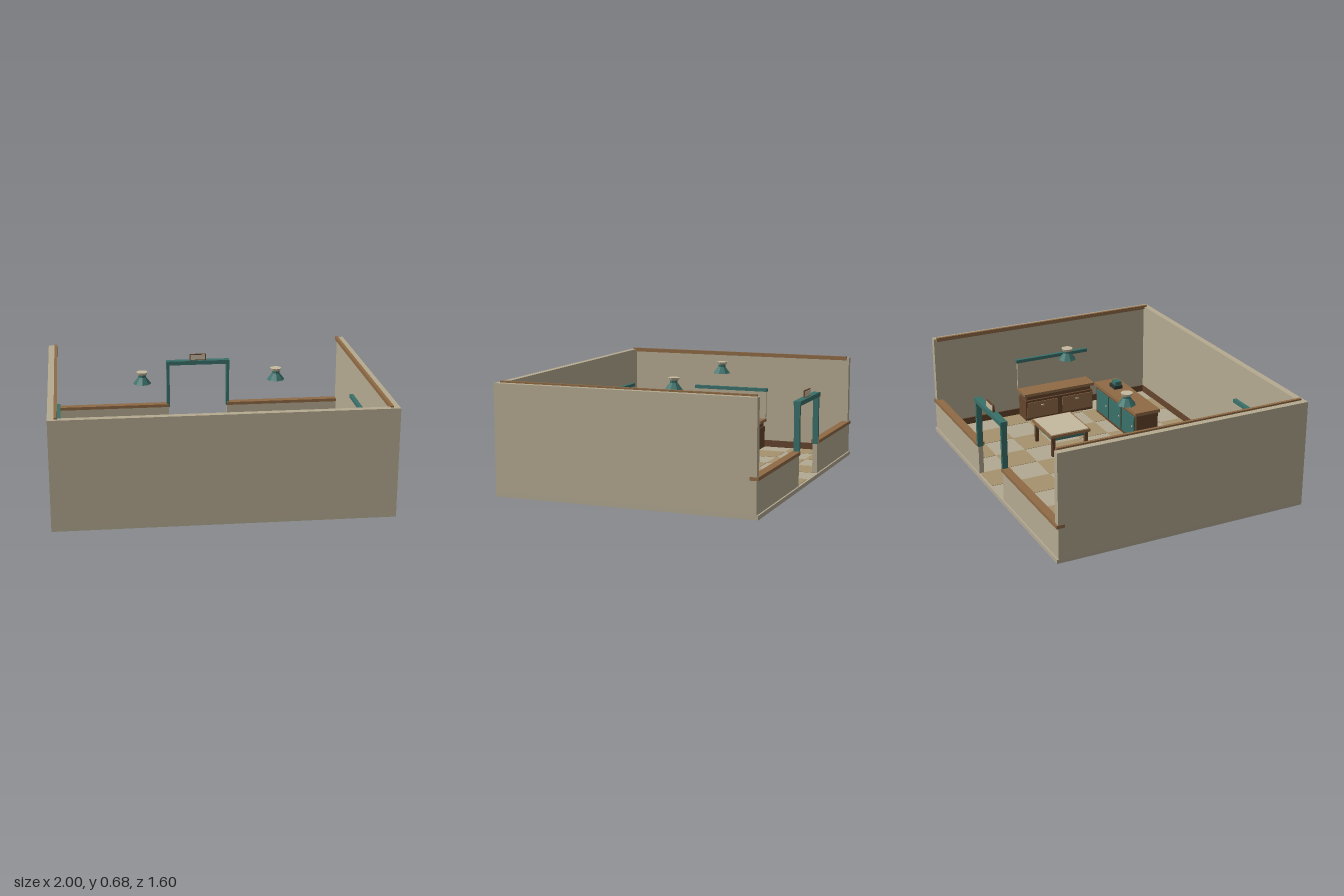
import * as THREE from 'three';

const mat = (color) => new THREE.MeshStandardMaterial({ color, flatShading: true, side: THREE.DoubleSide });
const M = {
  wall: mat(0xb5aa91), tileLight: mat(0xb3a993), tileDark: mat(0xa5926d),
  wood: mat(0x8f6a45), darkWood: mat(0x65452d), teal: mat(0x3a706a), dark: mat(0x2b3532), pale: mat(0xc4b89f),
};

// Box given by its min and max corners
function box(parent, name, m, x0, x1, y0, y1, z0, z1) {
  const mesh = new THREE.Mesh(new THREE.BoxGeometry(x1 - x0, y1 - y0, z1 - z0), m);
  mesh.position.set((x0 + x1) / 2, (y0 + y1) / 2, (z0 + z1) / 2);
  mesh.name = name;
  parent.add(mesh);
  return mesh;
}

function group(parent, name, x = 0, y = 0, z = 0, turn = 0) {
  const g = new THREE.Group();
  g.name = name;
  g.position.set(x, y, z);
  g.rotation.y = turn;
  parent.add(g);
  return g;
}

const FLOOR = 0.027;

// Slab with a checkerboard of inlaid tiles
function floor(parent) {
  const g = group(parent, 'floor');
  box(g, 'floorSlab', M.tileLight, -1, 1, 0, 0.025, -0.8, 0.8);
  for (let i = 0; i < 10; i++) {
    for (let j = 0; j < 8; j++) {
      if ((i + j) % 2 === 0) continue;
      const x = -1 + i * 0.2, z = -0.8 + j * 0.2;
      box(g, 'darkTile', M.tileDark, Math.max(x, -0.97), Math.min(x + 0.2, 0.97), 0.02, FLOOR,
        Math.max(z, -0.785), Math.min(z + 0.2, 0.77));
    }
  }
}

// Three tall walls, a low back wall with a doorway, and their trims
function walls(parent) {
  const g = group(parent, 'walls');
  box(g, 'frontWall', M.wall, -1, 1, 0.025, 0.665, 0.76, 0.8);
  box(g, 'frontBaseboard', M.darkWood, -0.95, 0.95, 0.025, 0.07, 0.752, 0.76);
  for (const s of [-1, 1]) {
    const span = (a, b) => (s > 0 ? [a, b] : [-b, -a]);
    box(g, 'sideWall', M.wall, ...span(0.96, 1), 0.025, 0.665, -0.79, 0.76);
    box(g, 'sideBaseboard', M.darkWood, ...span(0.952, 0.96), 0.025, 0.07, -0.755, 0.76);
    box(g, 'topRail', M.wood, ...span(0.944, 0.962), 0.65, 0.675, -0.775, 0.78);
    box(g, 'lowBackWall', M.wall, ...span(0.2, 0.96), 0.025, 0.215, -0.79, -0.76);
    box(g, 'backWallCap', M.wood, ...span(0.2, 1.002), 0.215, 0.235, -0.8, -0.75);
  }
}

function doorway(parent) {
  const g = group(parent, 'doorway');
  for (const s of [-1, 1]) {
    box(g, 'doorPost', M.teal, s * 0.204 - 0.01, s * 0.204 + 0.01, 0.21, 0.51, -0.795, -0.76);
  }
  box(g, 'lintel', M.teal, -0.215, 0.215, 0.508, 0.535, -0.8, -0.755);
  box(g, 'signBoard', M.darkWood, -0.055, 0.055, 0.535, 0.578, -0.782, -0.77);
  box(g, 'signFace', M.pale, -0.05, 0.05, 0.54, 0.573, -0.785, -0.767);
}

// Wall cabinet: back at local z = 0, facing +z
function cabinet(parent, name, length, x, z, turn) {
  const g = group(parent, name, x, 0, z, turn), h = length / 2;
  box(g, 'cabinetBody', M.darkWood, -h + 0.01, h - 0.01, 0.025, 0.17, 0.015, 0.135);
  box(g, 'cabinetNeck', M.darkWood, -h + 0.02, h - 0.02, 0.17, 0.205, 0.015, 0.12);
  box(g, 'cabinetTop', M.wood, -h, h, 0.203, 0.222, 0.01, 0.145);
  for (const s of [-1, 1]) {
    const c = s * h / 2;
    box(g, 'cabinetDoor', M.wood, c - h / 2 + 0.02, c + h / 2 - 0.015, 0.045, 0.155, 0.13, 0.141);
    box(g, 'doorKnob', M.pale, c - 0.01, c + 0.01, 0.125, 0.133, 0.14, 0.148);
  }
  box(g, 'backPanel', M.wall, -h + 0.005, h - 0.005, 0.2, 0.415, 0, 0.012);
  box(g, 'panelRail', M.teal, -h - 0.004, h + 0.004, 0.41, 0.432, 0, 0.024);
}

// Service counter with three panels facing the doorway
function counter(parent) {
  const g = group(parent, 'counter', 0.46, 0, 0.37);
  box(g, 'counterBody', M.darkWood, -0.298, 0.298, 0.025, 0.225, -0.078, 0.08);
  box(g, 'counterTop', M.wood, -0.31, 0.31, 0.223, 0.245, -0.09, 0.09);
  for (let i = -1; i <= 1; i++) {
    const c = i * 0.19;
    box(g, 'counterPanel', M.teal, c - 0.086, c + 0.086, 0.05, 0.205, -0.086, -0.077);
    box(g, 'panelKnob', M.pale, c - 0.07, c - 0.06, 0.13, 0.14, -0.092, -0.085);
  }
  const r = group(g, 'cashRegister', 0.16, 0.245, 0.003);
  box(r, 'registerBase', M.dark, -0.04, 0.04, 0, 0.022, -0.03, 0.03);
  box(r, 'registerBody', M.teal, -0.028, 0.028, 0.022, 0.048, -0.016, 0.026);
}

function table(parent, x, z) {
  const g = group(parent, 'table', x, 0, z);
  box(g, 'tableTop', M.wood, -0.157, 0.157, 0.16, 0.178, -0.14, 0.14);
  box(g, 'tableInlay', M.pale, -0.147, 0.147, 0.17, 0.181, -0.13, 0.13);
  for (const s of [-1, 1]) {
    box(g, 'longApron', M.teal, -0.135, 0.135, 0.135, 0.16, s * 0.117 - 0.005, s * 0.117 + 0.005);
    box(g, 'shortApron', M.teal, s * 0.134 - 0.005, s * 0.134 + 0.005, 0.135, 0.16, -0.117, 0.117);
    for (const t of [-1, 1]) {
      box(g, 'tableLeg', M.darkWood, s * 0.132 - 0.011, s * 0.132 + 0.011, 0.025, 0.16,
        t * 0.115 - 0.011, t * 0.115 + 0.011);
    }
  }
}

// Hanging lamp: flared shade, bulb and round cap
function lamp(parent, x, z) {
  const g = group(parent, 'lamp', x, 0, z);
  const add = (name, geo, m, y) => {
    const mesh = new THREE.Mesh(geo, m);
    mesh.name = name;
    mesh.position.y = y;
    g.add(mesh);
  };
  add('lampShade', new THREE.CylinderGeometry(0.024, 0.056, 0.042, 8, 1, true), M.teal, 0.616);
  add('lampNeck', new THREE.CylinderGeometry(0.024, 0.024, 0.02, 8), M.teal, 0.645);
  add('lampCap', new THREE.CylinderGeometry(0.036, 0.03, 0.016, 12), M.pale, 0.661);
  add('bulb', new THREE.SphereGeometry(0.022, 10, 8), M.pale, 0.615);
}

export function createModel() {
  const model = new THREE.Group();
  model.name = 'shopRoom';
  floor(model);
  walls(model);
  doorway(model);
  counter(model);
  cabinet(model, 'leftCabinet', 0.52, 0.957, 0.04, -Math.PI / 2);
  cabinet(model, 'rightCabinet', 0.52, -0.957, 0.04, Math.PI / 2);
  cabinet(model, 'frontCabinet', 0.56, -0.58, 0.759, Math.PI);
  for (const s of [-1, 1]) {
    table(model, s * 0.357, -0.16);
    lamp(model, s * 0.42, -0.08);
  }
  return model;
}
